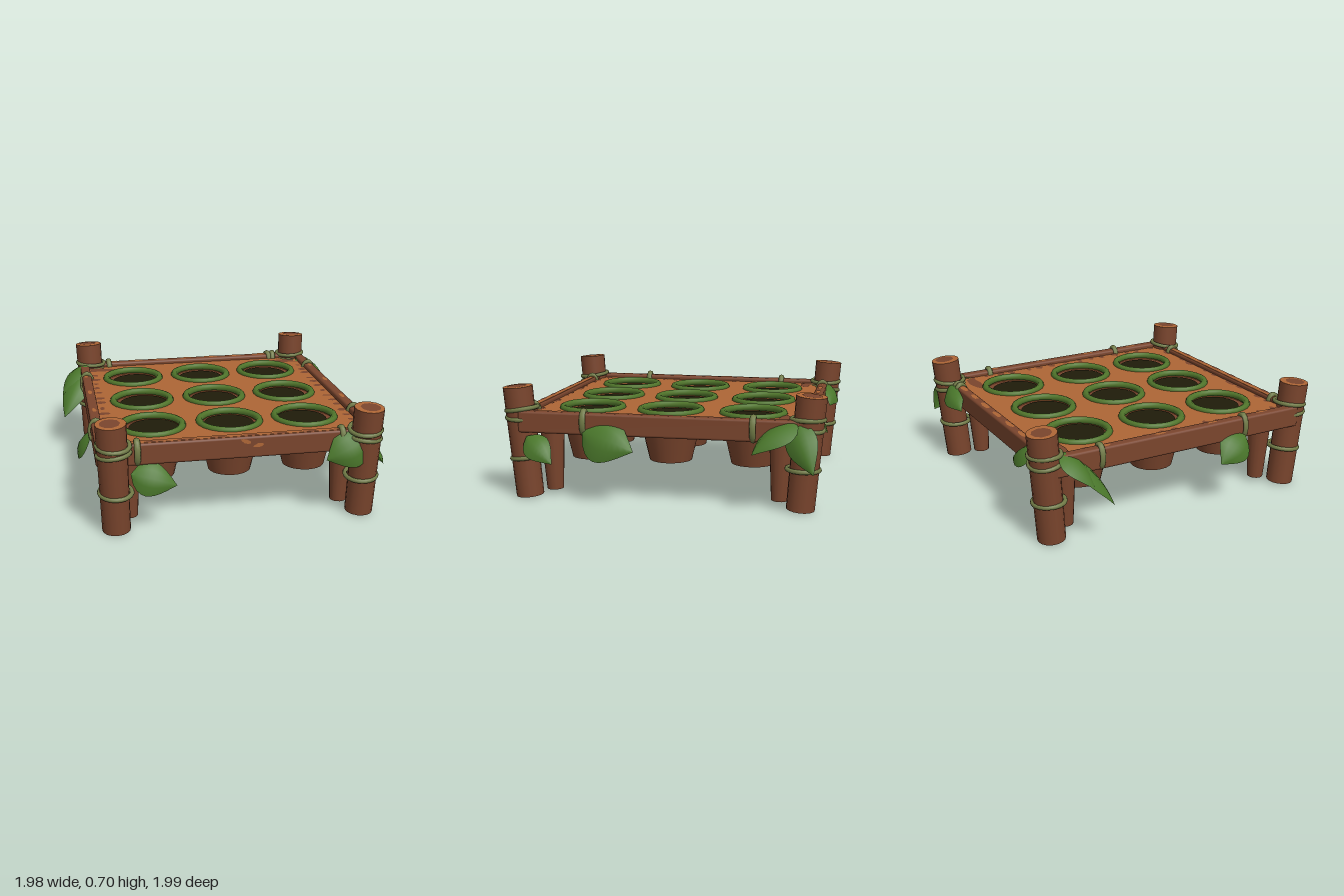
import * as THREE from 'three';
import { RoundedBoxGeometry } from 'three/addons/geometries/RoundedBoxGeometry.js';

const mat = (name, color, side = THREE.FrontSide) => {
  const m = new THREE.MeshStandardMaterial({ color, side });
  m.name = name;
  return m;
};
const V = (a) => new THREE.Vector3(...a);

export function createModel() {
  const root = new THREE.Group();
  root.name = 'plantingTable';
  const bark = mat('bark brown', 0x7a452d);
  const wood = mat('fresh wood', 0xae6636);
  const moss = mat('moss green', 0x50752b);
  const leafGreen = mat('leaf green', 0x4a772b, THREE.DoubleSide);
  const rope = mat('rope olive', 0x707a46);
  const soil = mat('dark soil', 0x1f1c0a);

  let seed = 7;
  const rand = () => (seed = (seed * 16807) % 2147483647) / 2147483647;

  const add = (parent, name, geo, material, pos = [0, 0, 0], rot = [0, 0, 0]) => {
    const m = new THREE.Mesh(geo, material);
    m.name = name;
    m.position.set(...pos);
    m.rotation.set(...rot);
    parent.add(m);
    return m;
  };

  // Flat worn patch lying on a surface (rot tips it from facing +z)
  const patch = (name, material, pos, w, h, rot) => {
    const g = new THREE.CircleGeometry(1, 8);
    const p = g.attributes.position;
    for (let i = 1; i < 9; i++) {
      const k = 0.75 + 0.35 * rand();
      p.setXY(i, p.getX(i) * k, p.getY(i) * k);
    }
    p.setXY(9, p.getX(1), p.getY(1));
    g.scale(w, h, 1);
    add(root, name, g, material, pos, rot);
  };
  const FLAT = [-Math.PI / 2, 0, 0];

  // Tray of nine cells, each with a round hole, a pot of soil and a mossy rim
  const xs = [-0.49, 0, 0.487], zs = [-0.525, 0, 0.512];
  const xEdge = [-0.805, -0.245, 0.245, 0.79], zEdge = [-0.86, -0.262, 0.256, 0.85];
  xs.forEach((x, i) => zs.forEach((z, j) => {
    const cell = new THREE.Shape([[i, j], [i + 1, j], [i + 1, j + 1], [i, j + 1]]
      .map(([a, b]) => new THREE.Vector2(xEdge[a], zEdge[b])));
    const ring = Array.from({ length: 24 }, (_, k) => {
      const a = -k * Math.PI / 12;
      return new THREE.Vector2(x + 0.185 * Math.cos(a), z + 0.185 * Math.sin(a));
    });
    cell.holes.push(new THREE.Path(ring));
    const g = new THREE.ExtrudeGeometry(cell, { depth: 0.095, bevelEnabled: false });
    g.rotateX(Math.PI / 2);
    add(root, 'trayCell', g, wood, [0, 0.53, 0]);

    const pot = new THREE.Group();
    pot.name = 'pot';
    pot.position.set(x, 0, z);
    root.add(pot);
    add(pot, 'potBody', new THREE.CylinderGeometry(0.203, 0.135, 0.29, 24), bark, [0, 0.36, 0]);
    add(pot, 'potSoil', new THREE.CylinderGeometry(0.158, 0.158, 0.008, 24), soil, [-x * 0.025, 0.508, -z * 0.025]);
    const rim = new THREE.TorusGeometry(0.19, 0.023, 8, 24);
    add(pot, 'mossRim', rim, moss, [0, 0.532, 0], [Math.PI / 2, 0, 0]);
    // moss creeping out under the tray on the inner pots
    if (i > 0 && j > 0 && i + j < 4) {
      const creep = new THREE.TorusGeometry(0.18, 0.012, 6, 24);
      add(pot, 'mossCreep', creep, moss, [-0.006, 0.427, -0.006], [Math.PI / 2, 0, 0]);
    }
  }));

  // Frame beams, running between two points
  const beam = (name, a, b, w) => {
    const d = V(b).sub(V(a));
    const g = new RoundedBoxGeometry(w, 0.135, d.length(), 2, 0.015);
    const c = V(a).add(V(b)).multiplyScalar(0.5);
    add(root, name, g, bark, c.toArray(), [0, Math.atan2(d.x, d.z), 0]);
  };
  beam('frontBeam', [-0.78, 0.49, 0.862], [0.78, 0.49, 0.862], 0.064);
  beam('backBeam', [-0.78, 0.49, -0.872], [0.78, 0.49, -0.872], 0.064);
  beam('rightBeam', [-0.815, 0.49, -0.88], [-0.835, 0.49, 0.88], 0.066);
  beam('leftBeam', [0.82, 0.49, -0.88], [0.833, 0.49, 0.88], 0.066);

  // Worn wood on the beam tops and front face
  add(root, 'wornFrontStrip', new THREE.BoxGeometry(1.32, 0.004, 0.04), wood, [0, 0.557, 0.86]);
  for (let i = 0; i < 14; i++) {
    const x = -0.62 + i * 0.095;
    if (i % 2) patch('barkOnFrontStrip', bark, [x, 0.5605, 0.87], 0.06, 0.013, FLAT);
    else patch('wornBeamTop', wood, [x, 0.5595, -0.872], 0.06, 0.02, FLAT);
    if (i % 4 === 1) {
      patch('wornBeamTop', wood, [-0.825, 0.5595, x], 0.014, 0.045, FLAT);
      patch('wornBeamTop', wood, [0.826, 0.5595, x], 0.014, 0.045, FLAT);
    }
  }
  patch('wornSpot', wood, [0.02, 0.53, 0.8955], 0.035, 0.014, [0, 0, -0.4]);
  patch('wornSpot', wood, [0.1, 0.5, 0.8955], 0.035, 0.014, [0, 0, 0.2]);

  // Dark stains along the tray edges
  for (let i = 0; i < 15; i++) {
    const t = -0.74 + i * 0.105;
    const r = () => 0.018 + 0.028 * rand();
    if (i % 3) patch('trayStain', bark, [t * 0.98, 0.532, 0.81 + 0.015 * rand()], r() * 1.3, r() * 0.7, FLAT);
    patch('trayStain', bark, [-0.765, 0.532, t + 0.04 * rand()], r(), r() * 0.7, FLAT);
    patch('trayStain', bark, [0.76, 0.532, t + 0.04 * rand()], r() * 0.8, r() * 0.7, FLAT);
  }
  patch('trayStain', bark, [-0.68, 0.533, -0.74], 0.11, 0.035, FLAT);
  patch('trayStain', bark, [-0.73, 0.534, -0.78], 0.05, 0.06, FLAT);
  patch('trayStain', bark, [0.65, 0.533, -0.74], 0.14, 0.04, FLAT);

  // Corner posts leaning outward, each with a stubby inner leg and rope bands
  const pole = (name, a, b, rb, rt, material) => {
    const g = new THREE.Group();
    const d = V(b).sub(V(a));
    g.name = name;
    g.position.set(...a);
    g.quaternion.setFromUnitVectors(new THREE.Vector3(0, 1, 0), d.clone().normalize());
    root.add(g);
    add(g, name + 'Log', new THREE.CylinderGeometry(rt, rb, d.length(), 16), material, [0, d.length() / 2, 0]);
    return g;
  };
  for (const sx of [-1, 1]) for (const sz of [-1, 1]) {
    const post = pole('cornerPost', [sx * 0.758, 0.008, sz * 0.85], [sx * 0.777, 0.698, sz * 0.905],
      0.086, 0.092, [bark, wood, bark]);
    add(post, 'heartwood', new THREE.CircleGeometry(0.062, 9), bark, [sx * 0.006, 0.695, sz * 0.004], FLAT);
    [[0.245, 0.05], [0.5, -0.06], [0.55, 0.07]].forEach(([y, tilt]) => {
      const band = new THREE.TorusGeometry(0.097, 0.014, 8, 24);
      add(post, 'postRope', band, rope, [-sx * 0.008, y, -sz * 0.008], [Math.PI / 2 + tilt, tilt * sx, 0]);
    });
    pole('innerLeg', [sx * 0.665, 0.032, sz * 0.715], [sx * 0.672, 0.48, sz * 0.725], 0.052, 0.08, bark);
  }

  // Rope loops around the beams
  const loop = (x, z, alongX, tilt = 0) => {
    const g = new THREE.TorusGeometry(0.072, 0.016, 8, 20);
    g.scale(0.6, 1, 1.2);
    add(root, 'beamRope', g, rope, [x, 0.498, z], [0, (alongX ? Math.PI / 2 : 0) + tilt, 0]);
  };
  loop(-0.625, 0.862, true);
  loop(0.62, 0.862, true, 0.1);
  loop(-0.635, -0.872, true, 0.1);
  loop(0.585, -0.872, true, 0.25);
  loop(0.625, -0.872, true, -0.1);
  loop(-0.818, -0.555, false);
  loop(-0.832, 0.46, false);
  loop(0.823, -0.57, false);
  loop(0.83, 0.465, false);

  // Arched leaf from base to tip, bulging along its facing, with a raised midrib
  const leaf = (base, tip, facing, half) => {
    const n = V(facing).normalize();
    const mid = V(base).add(V(tip)).multiplyScalar(0.5).addScaledVector(n, 0.07);
    const path = new THREE.QuadraticBezierCurve3(V(base), mid, V(tip));
    const side = n.clone().cross(V(tip).sub(V(base))).normalize();
    const pos = [], index = [], rows = 10;
    for (let i = 0; i <= rows; i++) {
      const t = i / rows;
      const w = half * Math.sin(Math.PI * Math.pow(t, 0.75));
      for (let j = -2; j <= 2; j++) {
        const p = path.getPoint(t).addScaledVector(side, w * j / 2);
        p.addScaledVector(n, -w * 0.1 * j * j);
        pos.push(p.x, p.y, p.z);
        if (i < rows && j < 2) {
          const a = i * 5 + j + 2;
          index.push(a, a + 1, a + 5, a + 1, a + 6, a + 5);
        }
      }
    }
    const g = new THREE.BufferGeometry();
    g.setAttribute('position', new THREE.Float32BufferAttribute(pos, 3));
    // side x length points against n, so the corners run the other way
    g.setIndex(side.cross(V(tip).sub(V(base))).dot(n) < 0 ? index.reverse() : index);
    g.computeVertexNormals();
    add(root, 'leaf', g, leafGreen);
  };
  leaf([-0.67, 0.38, 0.91], [-0.4, 0.3, 0.94], [0, 0.45, 1], 0.105);
  leaf([0.76, 0.5, 0.93], [0.51, 0.39, 0.94], [-0.1, 0.4, 1], 0.125);
  leaf([0.85, 0.4, 0.83], [0.94, 0.25, 0.64], [1, 0.7, 0], 0.085);
  leaf([0.86, 0.45, 0.47], [0.94, 0.35, 0.13], [1, 0.5, 0], 0.145);
  leaf([-0.87, 0.45, 0.46], [-0.93, 0.31, 0.24], [-1, 0.7, 0], 0.11);
  leaf([0.82, 0.55, -0.8], [0.98, 0.27, -0.94], [0.7, 0.6, 0.4], 0.1);
  leaf([0.82, 0.56, -0.82], [0.97, 0.37, -0.58], [0.5, 0.7, 0.4], 0.115);
  leaf([-0.82, 0.55, -0.76], [-0.99, 0.25, -0.55], [-0.4, 0.6, 0.65], 0.1);
  leaf([-0.8, 0.57, -0.8], [-0.99, 0.38, -0.68], [-0.5, 0.7, 0.4], 0.1);
  leaf([-0.7, 0.54, -0.92], [-0.44, 0.43, -0.94], [0, 0.8, -0.7], 0.085);
  leaf([0.68, 0.54, -0.92], [0.41, 0.44, -0.94], [0, 0.8, -0.7], 0.085);

  return root;
}
